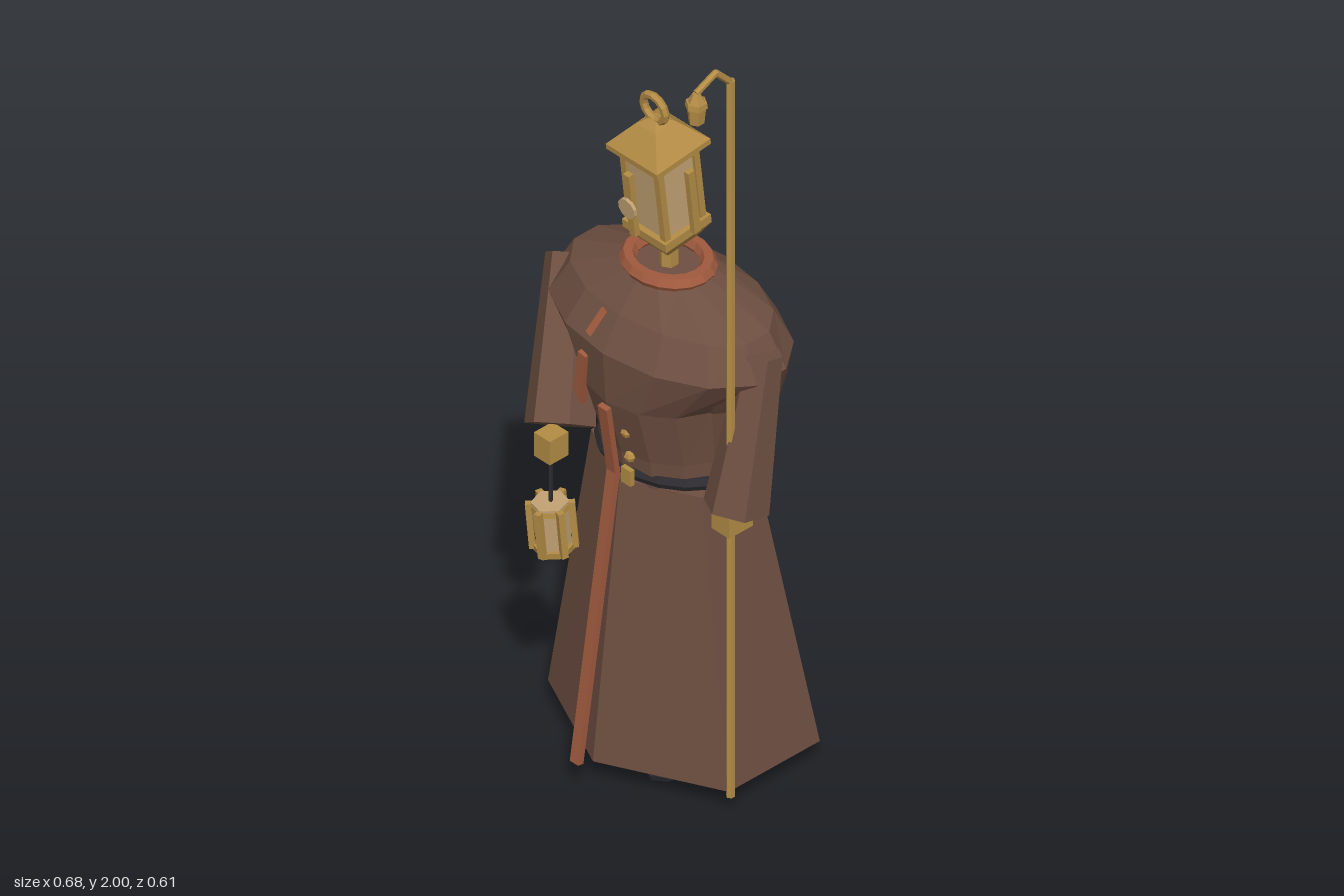
import * as THREE from 'three';

const mat = (name, color) => {
  const m = new THREE.MeshStandardMaterial({ color });
  m.name = name;
  return m;
};
const V = (p) => new THREE.Vector3(...p);

// faceted normals for the low-poly look
function flat(geo) {
  const g = geo.index ? geo.toNonIndexed() : geo;
  g.computeVertexNormals();
  return g;
}

// closed solid through elliptical rings [y, cx, cz, rx, rz], bottom to top, corners at front and back
function loft(rings, n) {
  const pos = [], idx = [];
  rings.forEach(([y, cx, cz, rx, rz]) => {
    for (let i = 0; i < n; i++) {
      const a = (i / n) * Math.PI * 2;
      pos.push(cx + rx * Math.sin(a), y, cz + rz * Math.cos(a));
    }
  });
  for (let r = 0; r < rings.length - 1; r++) {
    for (let i = 0; i < n; i++) {
      const j = (i + 1) % n, a = r * n + i, b = r * n + j;
      idx.push(a, b, b + n, a, b + n, a + n);
    }
  }
  const t = (rings.length - 1) * n;
  for (let i = 1; i < n - 1; i++) idx.push(0, i + 1, i, t, t + i, t + i + 1);
  const g = new THREE.BufferGeometry();
  g.setAttribute('position', new THREE.Float32BufferAttribute(pos, 3));
  g.setIndex(idx);
  return flat(g);
}

export function createModel() {
  const robe = mat('brown robe', 0x6e4f41);
  const red = mat('rust cloth', 0xa05a3e);
  const gold = mat('brass', 0xb38c45);
  const glass = mat('lantern glass', 0xc2a273);
  const black = mat('black leather', 0x2d2b2f);

  const model = new THREE.Group();
  model.name = 'lanternKeeper';

  const add = (name, geo, material, pos = [0, 0, 0], parent = model) => {
    const m = new THREE.Mesh(geo, material);
    m.name = name;
    m.position.set(...pos);
    parent.add(m);
    return m;
  };
  const box = (w, h, d) => new THREE.BoxGeometry(w, h, d);
  const cyl = (rt, rb, h, n) => flat(new THREE.CylinderGeometry(rt, rb, h, n));
  // places a part whose y axis runs from p to q
  const between = (name, make, material, p, q, parent = model) => {
    const a = V(p), b = V(q), d = b.clone().sub(a);
    const m = add(name, make(d.length()), material, a.clone().add(b).multiplyScalar(0.5).toArray(), parent);
    m.quaternion.setFromUnitVectors(new THREE.Vector3(0, 1, 0), d.normalize());
    return m;
  };

  // robe: six-sided skirt, torso and back cape
  add('skirt', loft([[0.06, -0.013, -0.033, 0.326, 0.27], [0.78, -0.005, 0.005, 0.2, 0.16]], 6), robe);
  const shoulder = [1.13, -0.013, 0.005, 0.32, 0.203];
  add('torso', loft([
    [0.775, -0.005, 0, 0.165, 0.15],
    [0.85, -0.005, 0.005, 0.168, 0.155],
    [1.0, -0.01, 0.022, 0.19, 0.18],
    shoulder,
    [1.21, -0.013, 0.003, 0.275, 0.157],
    [1.275, -0.013, 0.01, 0.11, 0.09],
  ], 14), robe);
  add('cape', loft([[1.0, -0.013, -0.045, 0.25, 0.173], shoulder], 14), robe);

  // belt and collar
  const ring = (name, r, tube, sx, sz, material, pos) => {
    const g = new THREE.TorusGeometry(r, tube, 6, 18).rotateX(Math.PI / 2).scale(sx, 1, sz);
    return add(name, flat(g), material, pos);
  };
  ring('belt', 0.17, 0.017, 1, 0.86, black, [-0.008, 0.795, 0]).rotation.x = -0.04;
  ring('collar', 0.09, 0.02, 1.05, 0.9, red, [-0.013, 1.283, 0.013]);

  // shoes
  for (const x of [-0.093, 0.064]) {
    const shoe = loft([
      [0, x, 0.063, 0.05, 0.098], [0.015, x, 0.063, 0.055, 0.108],
      [0.045, x, 0.063, 0.055, 0.108], [0.06, x, 0.063, 0.047, 0.09],
    ].map(([y, cx, cz, rx, rz]) => [y, cx, cz, rx * 0.8, rz * 0.75]), 8);
    add('shoe', shoe, black);
  }

  // sleeves and hands
  between('leftSleeve', (h) => cyl(0.045, 0.074, h, 6), robe, [0.272, 0.81, 0.082], [0.268, 1.18, 0]);
  between('rightSleeve', (h) => cyl(0.06, 0.08, h, 6), robe, [-0.142, 0.875, 0.212], [-0.29, 1.165, 0.035]);
  add('leftHand', box(0.055, 0.068, 0.07), gold, [0.265, 0.79, 0.088]);
  add('rightHand', box(0.05, 0.062, 0.055), gold, [-0.132, 0.848, 0.248]);

  // hanging cloth sash
  const strip = (w, t) => (h) => box(w, h, t);
  between('sashUpper', strip(0.028, 0.014), red, [-0.018, 0.8, 0.172], [-0.01, 0.99, 0.206]);
  between('sashLower', strip(0.026, 0.016), red, [-0.025, 0.07, 0.274], [-0.018, 0.81, 0.17]);
  between('chestStrap', strip(0.024, 0.02), red, [-0.12, 0.9, 0.18], [-0.083, 1.09, 0.194]);
  between('chestStrapTop', strip(0.018, 0.014), red, [-0.075, 1.14, 0.187], [-0.055, 1.2, 0.158]);

  // coat buttons
  for (const [y, z] of [[0.92, 0.168], [0.85, 0.158]]) {
    add('button', flat(new THREE.SphereGeometry(0.014, 6, 4)), gold, [0.02, y, z]);
  }
  add('buckle', box(0.03, 0.04, 0.012), gold, [0.02, 0.802, 0.165]);

  // lantern head, leaning slightly forward
  const head = new THREE.Group();
  head.name = 'lanternHead';
  head.position.set(-0.013, 1.34, 0.012);
  head.rotation.x = 0.115;
  model.add(head);
  const square = (top, bottom, h) =>
    flat(new THREE.CylinderGeometry(top * Math.SQRT2, bottom * Math.SQRT2, h, 4).rotateY(Math.PI / 4));
  add('neck', cyl(0.022, 0.022, 0.12, 6), gold, [-0.0, 1.3, 0.012]).position.x = -0.013;
  add('headBase', square(0.068, 0.045, 0.035), gold, [0, 0.022, 0], head);
  add('headBaseRim', square(0.068, 0.068, 0.022), gold, [0, 0.05, 0], head);
  add('headGlass', box(0.108, 0.205, 0.108), glass, [0, 0.163, 0], head);
  add('roofEave', square(0.08, 0.08, 0.014), gold, [0, 0.268, 0], head);
  add('roof', square(0.03, 0.08, 0.055), gold, [0, 0.302, 0], head);
  add('roofCap', square(0.012, 0.03, 0.012), gold, [0, 0.335, 0], head);
  add('carryRing', flat(new THREE.TorusGeometry(0.034, 0.0095, 6, 12)), gold, [0, 0.37, 0], head);
  for (const x of [-1, 1]) {
    for (const z of [-1, 1]) add('cornerPost', box(0.016, 0.205, 0.016), gold, [x * 0.053, 0.163, z * 0.053], head);
  }
  for (let i = 0; i < 4; i++) {
    const a = (i * Math.PI) / 2;
    const bar = add('guardBar', box(0.018, 0.17, 0.014), gold, [Math.sin(a) * 0.093, 0.157, Math.cos(a) * 0.093], head);
    bar.rotation.y = a;
  }
  add('frontLens', cyl(0.026, 0.026, 0.008, 10), glass, [0, 0.153, 0.105], head).rotation.x = Math.PI / 2;

  // hand lantern on its chain
  between('chain', (h) => cyl(0.005, 0.005, h, 5), black, [-0.132, 0.69, 0.249], [-0.132, 0.82, 0.249]);
  const lamp = new THREE.Group();
  lamp.name = 'handLantern';
  lamp.position.set(-0.13, 0.635, 0.247);
  lamp.rotation.set(0.06, 0.25, 0.04);
  model.add(lamp);
  add('lampGlass', cyl(0.042, 0.038, 0.118, 6), glass, [0, 0.003, 0], lamp);
  add('lampBase', cyl(0.048, 0.046, 0.016, 6), gold, [0, -0.058, 0], lamp);
  add('lampRim', cyl(0.044, 0.046, 0.012, 6), gold, [0, 0.05, 0], lamp);
  for (let i = 0; i < 6; i++) {
    const a = (i * Math.PI) / 3;
    add('lampBar', box(0.015, 0.12, 0.014), gold, [Math.sin(a) * 0.047, 0, Math.cos(a) * 0.047], lamp).rotation.y = a;
  }

  // staff with hooked top and small hanging lamp
  const rod = (r) => (h) => cyl(r, r, h, 6);
  between('staff', rod(0.0105), gold, [0.267, 0.045, 0.095], [0.267, 1.95, 0.095]);
  between('hookRise', rod(0.008), gold, [0.267, 1.945, 0.095], [0.267, 1.992, 0.14]);
  between('hookDrop', rod(0.008), gold, [0.267, 1.992, 0.138], [0.267, 1.965, 0.197]);
  const hung = [[1.955, 0.008, 0.02, 0.022], [1.937, 0.024, 0.026, 0.014], [1.91, 0.022, 0.018, 0.042]];
  for (const [y, rt, rb, h] of hung) add('staffLamp', cyl(rt, rb, h, 6), gold, [0.267, y, 0.196]);

  return model;
}
